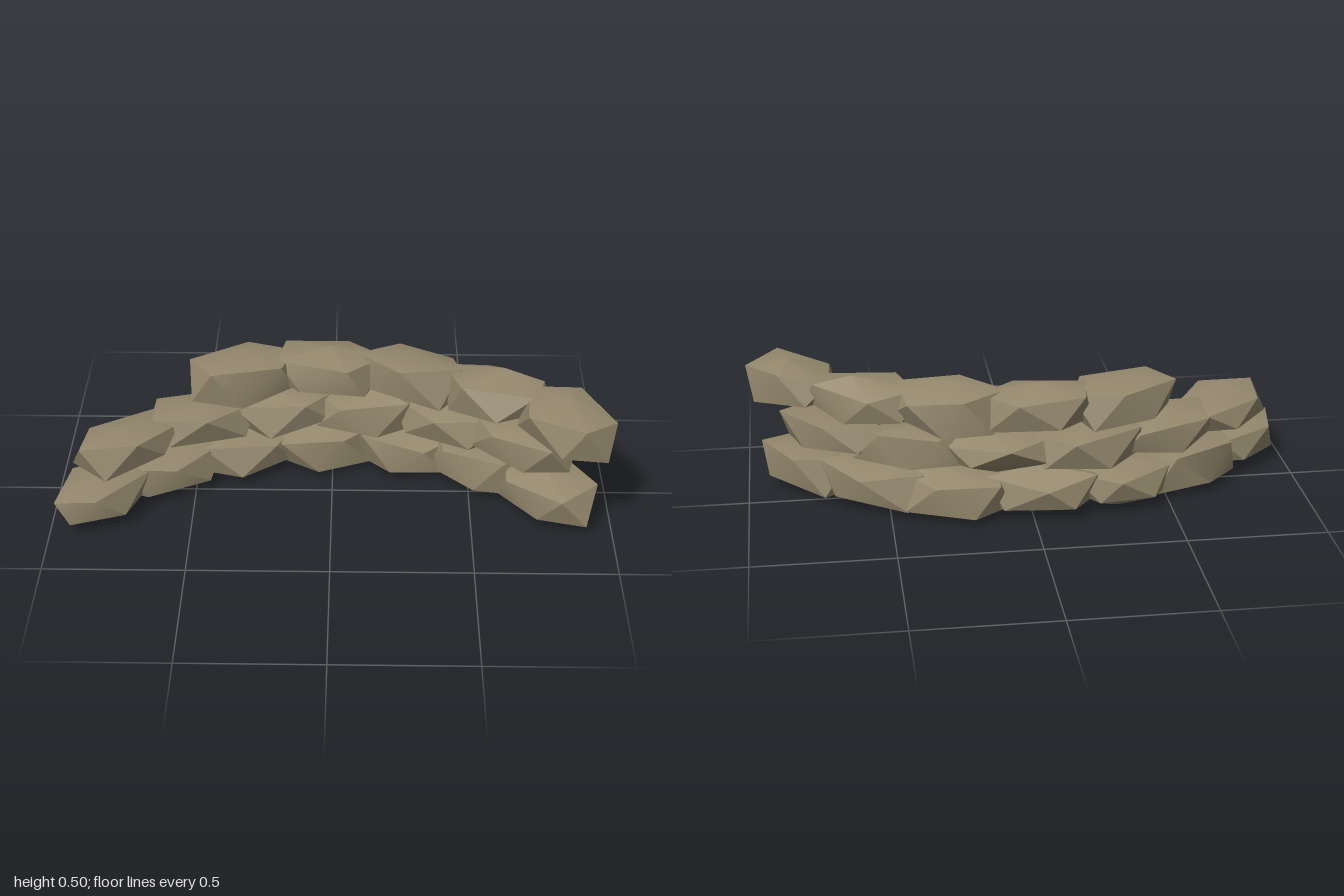
import * as THREE from 'three';
import { ConvexGeometry } from 'three/addons/geometries/ConvexGeometry.js';
import { toCreasedNormals } from 'three/addons/utils/BufferGeometryUtils.js';

// Small seeded generator, returns values from -1 to 1
function seeded(seed) {
  let s = seed;
  return () => {
    s = (s * 16807) % 2147483647;
    return (s / 2147483647) * 2 - 1;
  };
}

// Rough stone: two staggered five-cornered rims, each closed by a shallow peak
function stoneGeometry(length, height, depth, rand) {
  const points = [];
  const phase = rand() * Math.PI;
  for (const side of [1, -1]) {
    points.push(new THREE.Vector3(rand() * 0.25, side, rand() * 0.25));
    for (let i = 0; i < 5; i++) {
      const a = phase + (i + (side < 0 ? 0.5 : 0)) * Math.PI * 0.4 + rand() * 0.15;
      const r = 1 + rand() * 0.06;
      points.push(new THREE.Vector3(Math.cos(a) * r, side * (0.58 + rand() * 0.24), Math.sin(a) * r));
    }
  }
  // Cut the stone to its size
  const box = new THREE.Box3().setFromPoints(points);
  const middle = box.getCenter(new THREE.Vector3());
  const fit = new THREE.Vector3(length, height, depth).divide(box.getSize(new THREE.Vector3()));
  for (const p of points) p.sub(middle).multiply(fit);
  return toCreasedNormals(new ConvexGeometry(points), 0.6);
}

export function createModel() {
  const stoneMaterial = new THREE.MeshStandardMaterial({ color: 0x94886d });
  stoneMaterial.name = 'weathered stone';
  const rand = seeded(4217);
  const radius = 1.12; // bow of the wall
  const bowCentre = 0.92;

  // Each course: name, centre height, stone height, stone count, first and last angle
  const courses = [
    ['bottomCourse', 0.093, 0.186, 7, -47.4, 44.1],
    ['middleCourse', 0.254, 0.168, 6, -41, 37.7],
    ['topCourse', 0.404, 0.184, 5, -16.6, 47],
  ];

  const wall = new THREE.Group();
  wall.name = 'curvedStoneWall';
  for (const [name, y, height, count, first, last] of courses) {
    const course = new THREE.Group();
    course.name = name;
    for (let i = 0; i < count; i++) {
      const angle = THREE.MathUtils.degToRad(first + (last - first) * i / (count - 1));
      const stone = new THREE.Mesh(stoneGeometry(0.41, height, 0.25, rand), stoneMaterial);
      stone.name = 'stone' + (i + 1);
      // Follow the bowed line of the wall
      stone.position.set(radius * Math.sin(angle), y, bowCentre - radius * Math.cos(angle));
      stone.rotation.y = -angle;
      course.add(stone);
    }
    wall.add(course);
  }
  return wall;
}
